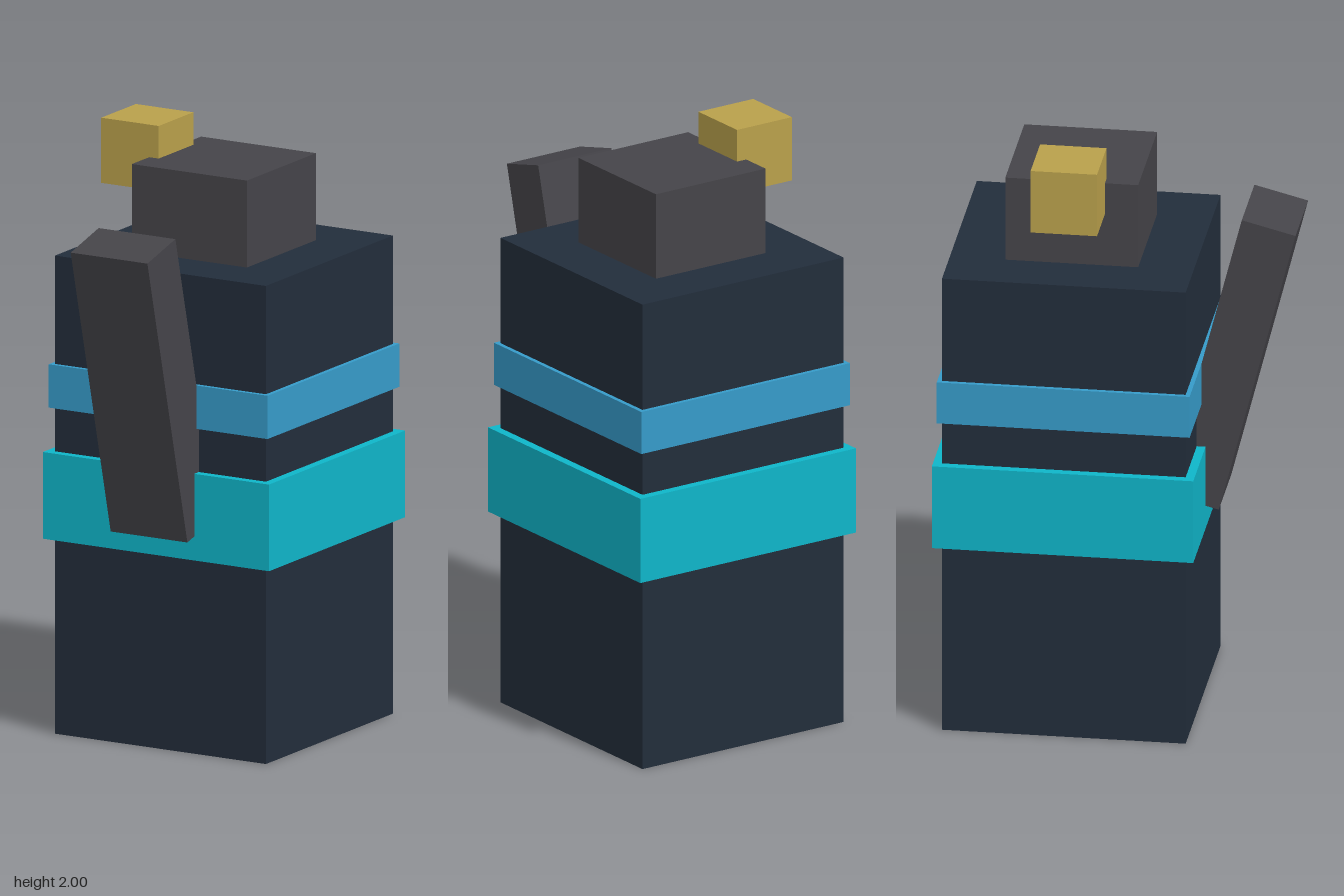
import * as THREE from 'three';

const material = (name, color) => {
  const m = new THREE.MeshStandardMaterial({ color });
  m.name = name;
  return m;
};

export function createModel() {
  const navy = material('navy', 0x222d3b);
  const blue = material('blue', 0x369bc9);
  const teal = material('teal', 0x0fb5c9);
  const charcoal = material('charcoal', 0x454449);
  const gold = material('gold', 0xb9a04b);

  const group = new THREE.Group();
  const axisZ = -0.148; // shared vertical axis of the stacked parts

  const box = (name, mat, [w, h, d], [x, y, z]) => {
    const mesh = new THREE.Mesh(new THREE.BoxGeometry(w, h, d), mat);
    mesh.name = name;
    mesh.position.set(x, y, z);
    group.add(mesh);
    return mesh;
  };

  // Main block with two bands wrapped around it
  box('body', navy, [0.8, 1.6, 0.8], [0, 0.8, axisZ]);
  box('upperBand', blue, [0.83, 0.145, 0.83], [0, 1.165, axisZ]);
  box('lowerBand', teal, [0.858, 0.29, 0.858], [0, 0.8, axisZ]);

  // Cap on top, with a small block at its right side
  box('cap', charcoal, [0.436, 0.291, 0.436], [0, 1.7455, axisZ]);
  box('sideKnob', gold, [0.218, 0.218, 0.218], [-0.291, 1.891, axisZ]);

  // Lever leaning out from the front
  const lever = box('lever', charcoal, [0.291, 1.018, 0.182], [0, 1.24, 0.362]);
  lever.rotation.x = 0.25;

  return group;
}
